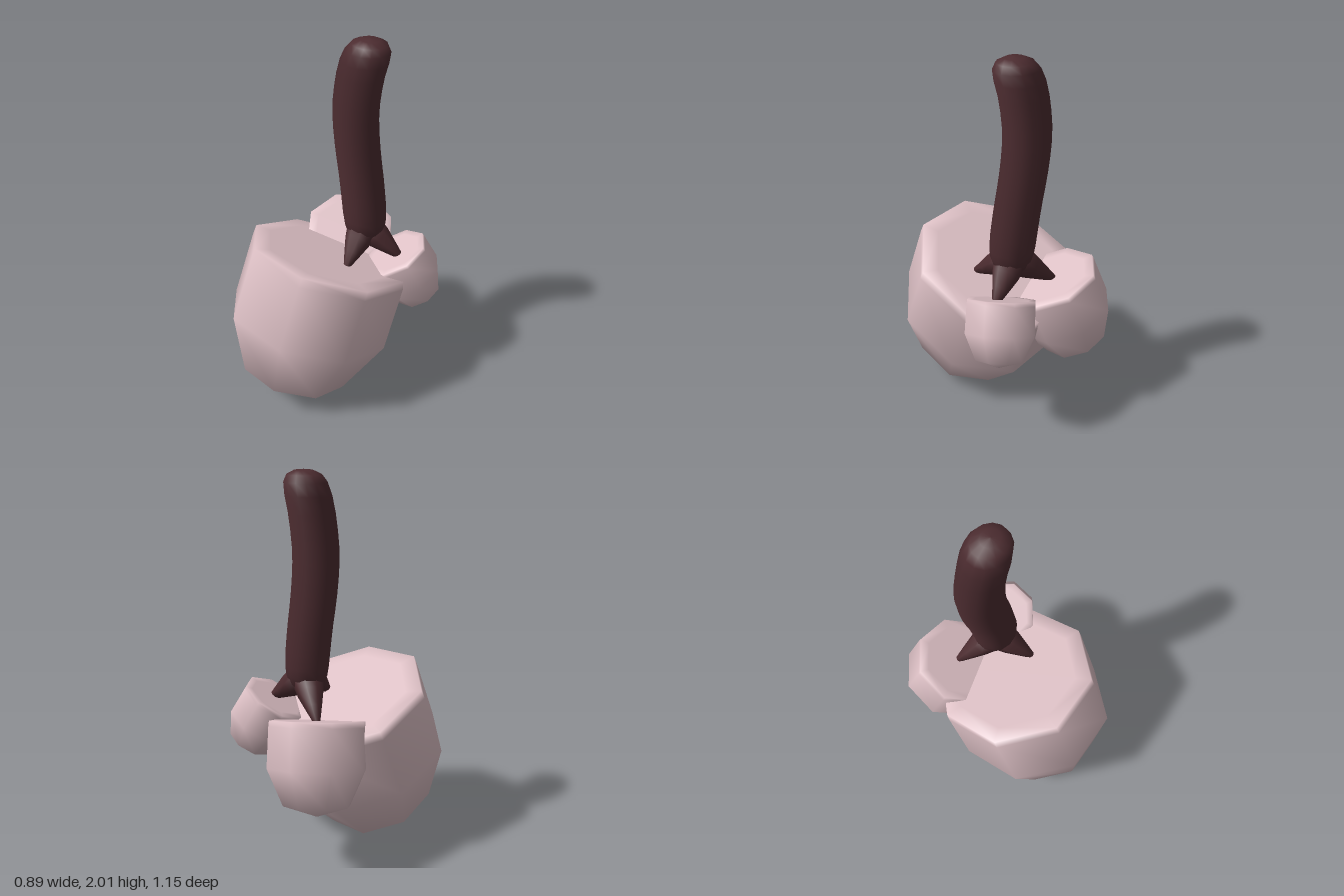
import * as THREE from 'three';

const pink = new THREE.MeshStandardMaterial({ color: 0xdfc2c7 });
const bark = new THREE.MeshStandardMaterial({ color: 0x4c2c30 });
const V2 = (x, y) => new THREE.Vector2(x, y);

// Eight-sided rounded pod with a flat top, from its bottom tip up to the rim
const podProfile = [
  V2(0, -0.85), V2(0.31, -0.75), V2(0.463, -0.42), V2(0.455, -0.05),
  V2(0.45, 0), V2(0.36, 0), V2(0, 0),
];

// Places a pod by the centre of its flat top and the direction that top faces
function pod(name, scale, top, facing, turn) {
  const geometry = new THREE.LatheGeometry(podProfile, 8, THREE.MathUtils.degToRad(turn));
  const mesh = new THREE.Mesh(geometry, pink);
  mesh.name = name;
  mesh.scale.set(...scale);
  mesh.position.set(...top);
  mesh.quaternion.setFromUnitVectors(
    new THREE.Vector3(0, 1, 0), new THREE.Vector3(...facing).normalize());
  return mesh;
}

// Round-ended stalk, swayed sideways along a smooth curve
function stalk() {
  const profile = [
    V2(0, 0.85), V2(0.06, 0.86), V2(0.09, 0.9), V2(0.106, 0.95), V2(0.112, 1.0),
    ...Array.from({ length: 11 }, (_, i) => V2(0.114, 1.08 + i * 0.08)),
    V2(0.106, 1.94), V2(0.085, 1.975), V2(0.045, 1.995), V2(0, 2),
  ];
  const sway = new THREE.SplineCurve([
    V2(0.06, 0.8), V2(0.057, 1.0), V2(0.028, 1.2), V2(-0.012, 1.4),
    V2(-0.031, 1.6), V2(-0.002, 1.8), V2(0.06, 2.0),
  ]);
  const geometry = new THREE.LatheGeometry(profile, 14);
  const p = geometry.attributes.position;
  for (let i = 0; i < p.count; i++) {
    const t = THREE.MathUtils.clamp((p.getY(i) - 0.8) / 1.2, 0, 1);
    p.setX(i, p.getX(i) * 1.11 + sway.getPoint(t).x);
  }
  const mesh = new THREE.Mesh(geometry, bark);
  mesh.name = 'stalk';
  mesh.position.z = -0.195;
  return mesh;
}

// Tapered root running from the foot of the stalk to a tip
function root(name, tip) {
  const start = new THREE.Vector3(0.06, 0.94, -0.195);
  const end = new THREE.Vector3(...tip);
  const along = end.clone().sub(start);
  const length = along.length();
  const profile = [
    V2(0, -0.03), V2(0.06, -0.02), V2(0.088, 0.02), V2(0.07, length * 0.4),
    V2(0.043, length * 0.7), V2(0.018, length * 0.97), V2(0, length),
  ];
  const mesh = new THREE.Mesh(new THREE.LatheGeometry(profile, 8), bark);
  mesh.name = name;
  mesh.position.copy(start);
  mesh.quaternion.setFromUnitVectors(new THREE.Vector3(0, 1, 0), along.normalize());
  return mesh;
}

export function createModel() {
  const model = new THREE.Group();
  model.name = 'stalkOnPods';
  model.add(
    pod('frontPod', [0.97, 1, 1.02], [-0.01, 0.8, 0], [0, 0.93, -0.366], 30),
    pod('backRightPod', [0.57, 0.57, 0.57], [-0.147, 0.767, -0.277], [0.29, 1, 0.26], 22),
    pod('backLeftPod', [0.41, 0.41, 0.41], [0.212, 0.79, -0.288], [-0.36, 0.87, 0.34], 22.5),
    stalk(),
    root('frontRoot', [0.14, 0.79, 0.01]),
    root('leftRoot', [0.26, 0.78, -0.29]),
    root('rightRoot', [-0.16, 0.76, -0.295]),
  );
  return model;
}
